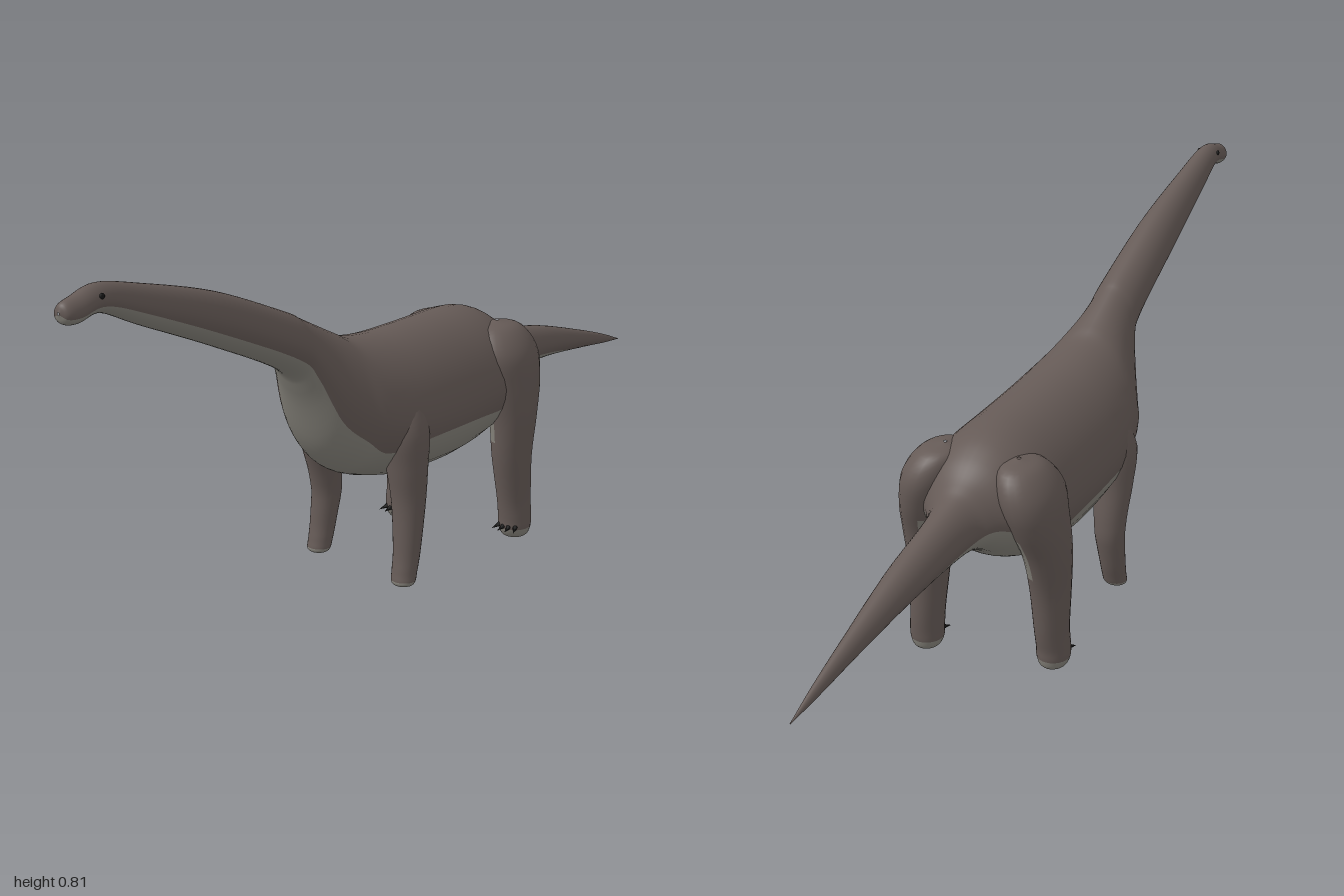
import * as THREE from 'three';

const hide = new THREE.MeshStandardMaterial({ color: 0x655a56 });
hide.name = 'brown hide';
const pale = new THREE.MeshStandardMaterial({ color: 0x85827a });
pale.name = 'pale underside';
const black = new THREE.MeshStandardMaterial({ color: 0x171717 });
black.name = 'black claw';

// Skin closed rings of points; isPale(i, j) picks the colour of each cell.
function loft(name, rings, isPale) {
  const n = rings[0].length;
  const cells = [[], []];
  for (let i = 0; i < rings.length - 1; i++) {
    for (let j = 0; j < n; j++) {
      const k = (j + 1) % n;
      const a = i * n + j, b = i * n + k, c = a + n, d = b + n;
      cells[isPale(i, j) ? 1 : 0].push(a, c, b, b, c, d);
    }
  }
  const g = new THREE.BufferGeometry();
  g.setAttribute('position', new THREE.Float32BufferAttribute(rings.flat(2), 3));
  g.setIndex([...cells[0], ...cells[1]]);
  g.addGroup(0, cells[0].length, 0);
  g.addGroup(cells[0].length, cells[1].length, 1);
  g.computeVertexNormals();
  const mesh = new THREE.Mesh(g, [hide, pale]);
  mesh.name = name;
  return mesh;
}

// Smoothly resample a table of cross-sections.
function resample(table, steps) {
  const curve = (p, q, r) => new THREE.CatmullRomCurve3(
    table.map(s => new THREE.Vector3(s[p], s[q], s[r])), false, 'catmullrom', 0.5);
  const first = curve(0, 1, 2), second = curve(3, 4, 0);
  return Array.from({ length: steps + 1 }, (_, i) => {
    const a = first.getPoint(i / steps), b = second.getPoint(i / steps);
    return [a.x, a.y, a.z, b.x, b.y];
  });
}

// Head to tail: z, top, bottom, half width, height where the pale underside starts
const BODY = [
  [1.0, 0.778, 0.772, 0.002, 0.773],
  [0.992, 0.792, 0.755, 0.019, 0.765],
  [0.965, 0.8, 0.75, 0.026, 0.765],
  [0.905, 0.812, 0.757, 0.028, 0.772],
  [0.8, 0.79, 0.711, 0.036, 0.735],
  [0.6, 0.735, 0.625, 0.05, 0.652],
  [0.4, 0.655, 0.53, 0.058, 0.56],
  [0.35, 0.63, 0.47, 0.064, 0.51],
  [0.3, 0.605, 0.35, 0.09, 0.41],
  [0.25, 0.58, 0.287, 0.118, 0.36],
  [0.2, 0.558, 0.257, 0.142, 0.325],
  [0.1, 0.543, 0.23, 0.158, 0.335],
  [0, 0.539, 0.22, 0.161, 0.335],
  [-0.1, 0.538, 0.22, 0.161, 0.332],
  [-0.2, 0.537, 0.235, 0.158, 0.325],
  [-0.26, 0.527, 0.258, 0.148, 0.33],
  [-0.31, 0.503, 0.295, 0.125, 0.36],
  [-0.36, 0.467, 0.322, 0.08, 0.38],
  [-0.42, 0.442, 0.33, 0.053, 0.365],
  [-0.6, 0.405, 0.327, 0.039, 0.343],
  [-0.78, 0.355, 0.308, 0.022, 0.309],
  [-0.9, 0.318, 0.293, 0.011, 0.292],
  [-0.99, 0.285, 0.284, 0.001, 0.284],
];

function makeBody() {
  const upper = 24, lower = 14;
  const rings = resample(BODY, 132).map(([z, top, bot, w, edge]) => {
    const mid = bot + (top - bot) * 0.46;
    const half = y => (y > mid ? top - mid : mid - bot);
    const start = Math.asin(THREE.MathUtils.clamp((edge - mid) / half(edge), -0.98, 0.5));
    const ring = [];
    for (let j = 0; j < upper + lower; j++) {
      const t = j < upper
        ? start + (Math.PI - 2 * start) * j / upper
        : Math.PI - start + (Math.PI + 2 * start) * (j - upper) / lower;
      const s = Math.sin(t);
      const x = w * Math.cos(t) * (1 - 0.13 * Math.max(s, 0));
      ring.push([x, mid + s * (s > 0 ? top - mid : mid - bot), z]);
    }
    return ring;
  });
  return loft('bodyNeckAndTail', rings, (i, j) => j >= upper);
}

// Legs, top to sole: y, centre x, centre z, x radius, z radius
const HIND = [
  [0.505, 0.085, -0.265, 0.004, 0.004],
  [0.49, 0.092, -0.265, 0.045, 0.06],
  [0.44, 0.11, -0.262, 0.064, 0.09],
  [0.37, 0.127, -0.262, 0.058, 0.082],
  [0.29, 0.137, -0.256, 0.05, 0.063],
  [0.2, 0.137, -0.254, 0.043, 0.052],
  [0.1, 0.138, -0.264, 0.037, 0.044],
  [0.05, 0.14, -0.266, 0.037, 0.04],
  [0.025, 0.14, -0.266, 0.036, 0.038],
  [0.006, 0.14, -0.268, 0.026, 0.028],
  [0, 0.14, -0.268, 0.002, 0.002],
];
const FRONT = [
  [0.45, 0.09, 0.13, 0.004, 0.004],
  [0.43, 0.1, 0.13, 0.035, 0.035],
  [0.36, 0.115, 0.135, 0.05, 0.052],
  [0.28, 0.121, 0.137, 0.045, 0.044],
  [0.2, 0.125, 0.137, 0.037, 0.036],
  [0.1, 0.13, 0.15, 0.03, 0.029],
  [0.055, 0.131, 0.16, 0.028, 0.026],
  [0.03, 0.132, 0.167, 0.025, 0.022],
  [0.022, 0.132, 0.168, 0.002, 0.002],
];

// shift(y) slides the sections along z to pose each leg.
function makeLeg(name, table, side, shift, paleBelow, paleInside) {
  const n = 24;
  const sections = resample(table, 48);
  const rings = sections.map(([y, x, z, rx, rz]) => Array.from({ length: n }, (_, j) => {
    const t = j / n * Math.PI * 2;
    return [side * x + rx * Math.cos(t), y, z + shift(y) - rz * Math.sin(t)];
  }));
  return loft(name, rings, (i, j) => {
    const y = sections[i][0];
    const inward = -side * Math.cos((j + 0.5) / n * Math.PI * 2);
    return y < paleBelow || (paleInside && inward > 0.35 && y > 0.24 && y < 0.36);
  });
}

// Fan of claws around the front of a hind foot
function makeClaws(name, x, z) {
  const claws = new THREE.Group();
  claws.name = name;
  for (let i = -1.5; i <= 1.5; i++) {
    const g = new THREE.ConeGeometry(0.009, 0.036, 8);
    g.rotateX(Math.PI / 2 + 0.25);
    const claw = new THREE.Mesh(g, black);
    claw.name = 'claw';
    claw.rotation.y = i * 0.25;
    claw.position.set(x + i * 0.015, 0.032, z + 0.044 - Math.abs(i) * 0.006);
    claws.add(claw);
  }
  return claws;
}

export function createModel() {
  const model = new THREE.Group();
  model.name = 'longNeckedDinosaur';
  model.add(makeBody());

  for (const side of [1, -1]) {
    const label = side > 0 ? 'left' : 'right';
    // The right feet are placed differently, giving a walking stance.
    const hindShift = y => (side > 0 ? 0 : 0.05 * THREE.MathUtils.clamp((0.4 - y) / 0.35, 0, 1));
    const frontShift = y => (side > 0 ? 0 : -0.05 * THREE.MathUtils.clamp((0.36 - y) / 0.2, 0, 1));
    model.add(makeLeg(label + 'HindLeg', HIND, side, hindShift, 0.03, true));
    model.add(makeLeg(label + 'FrontLeg', FRONT, side, frontShift, 0.04, false));
    model.add(makeClaws(label + 'HindClaws', side * 0.14, -0.266 + hindShift(0)));

    const eye = new THREE.Mesh(new THREE.SphereGeometry(0.006, 12, 8), black);
    eye.name = label + 'Eye';
    eye.scale.x = 0.6;
    eye.position.set(side * 0.0245, 0.793, 0.918);
    model.add(eye);
  }
  return model;
}
